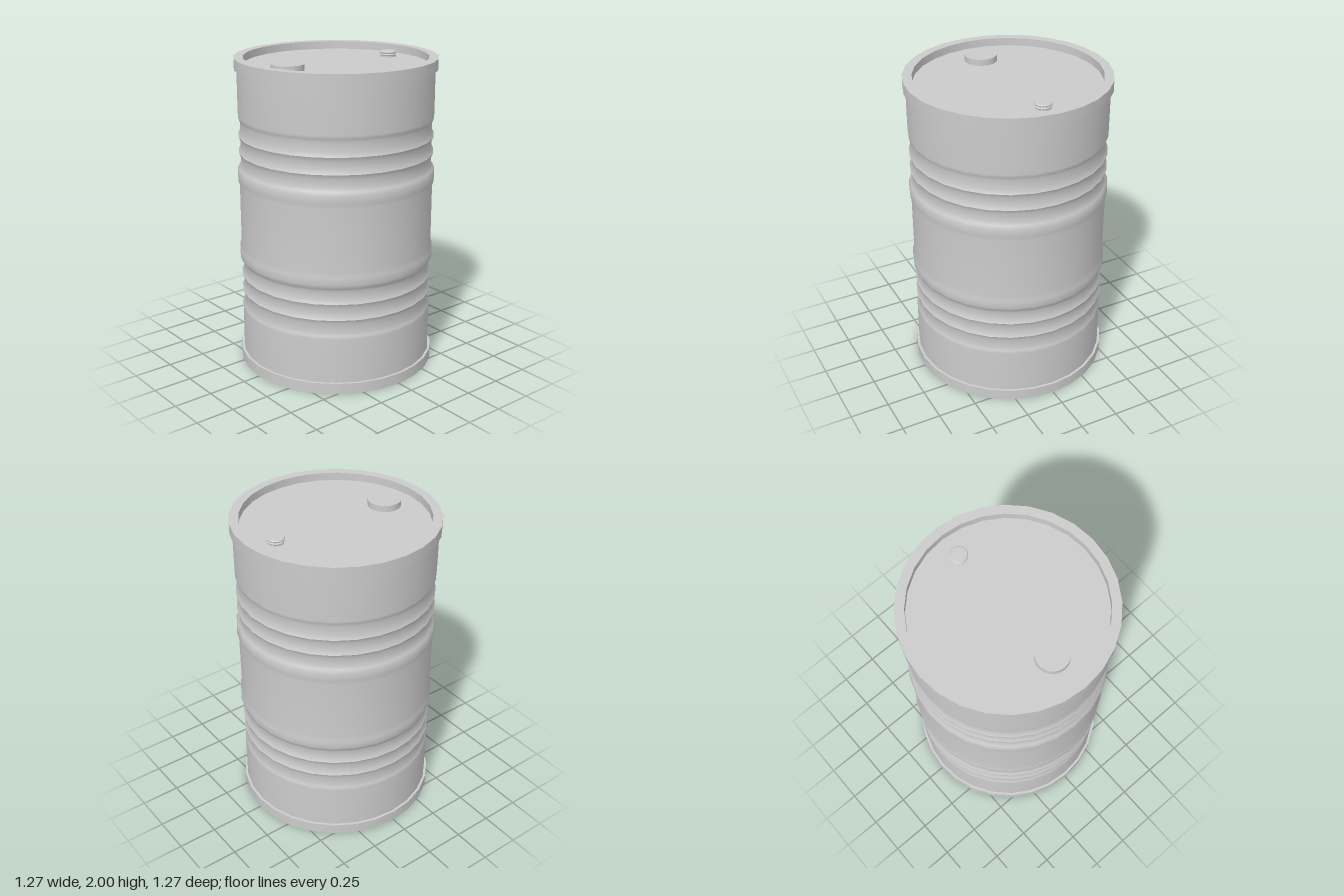
import * as THREE from 'three';
import { mergeGeometries } from 'three/addons/utils/BufferGeometryUtils.js';

const SIDES = 28;
const grey = new THREE.MeshStandardMaterial({ color: 0xcccccc });

// Each run is a smooth [radius, y] profile; edges between runs stay sharp.
function turned(name, runs, sides = SIDES) {
  const parts = runs.map((run) =>
    new THREE.LatheGeometry(run.map(([r, y]) => new THREE.Vector2(r, y)), sides));
  const mesh = new THREE.Mesh(mergeGeometries(parts), grey);
  mesh.name = name;
  return mesh;
}

// Reflects runs about mid height, keeping them facing outward.
const flip = (runs) => runs.map((run) => run.map(([r, y]) => [r, 2 - y]).reverse()).reverse();

// Consecutive points become separate hard-edged runs.
const hardEdged = (pts) => pts.slice(1).map((p, i) => [pts[i], p]);

export function createModel() {
  const drum = new THREE.Group();
  drum.name = 'drum';

  // Ribbed wall: the lower half, then its reflection
  const lower = [
    [[0.619, 0.07], [0.619, 0.36], [0.614, 0.38], [0.606, 0.4], [0.606, 0.46], [0.619, 0.488]],
    [[0.619, 0.488], [0.606, 0.515], [0.606, 0.565], [0.619, 0.593]],
  ];
  const shoulder = [[0.619, 0.593], [0.606, 0.62], [0.606, 0.675], [0.619, 0.695],
    [0.629, 0.72], [0.629, 0.77], [0.619, 0.8]];
  const middle = [...shoulder, ...flip([shoulder])[0]];
  drum.add(turned('ribbedWall', [...lower, middle, ...flip(lower)]));

  // End rims with recessed heads
  const floorY = 1.95;
  const end = hardEdged([[0.617, 1.93], [0.635, 1.93], [0.635, 2], [0.577, 2], [0.577, floorY], [0, floorY]]);
  drum.add(turned('topRimAndHead', end));
  drum.add(turned('bottomRimAndHead', flip(end)));

  // Large filler cap
  const cap = turned('fillerCap', hardEdged([[0.102, 0], [0.102, 0.04], [0, 0.04]]));
  cap.position.set(0, floorY, 0.372);
  drum.add(cap);

  // Small threaded vent plug
  const plug = turned('ventPlug', hardEdged([
    [0.048, 0], [0.048, 0.008], [0.053, 0.012], [0.053, 0.016], [0.048, 0.02],
    [0.048, 0.024], [0.053, 0.028], [0.053, 0.032], [0.048, 0.037], [0, 0.037],
  ]));
  plug.position.set(0, floorY, -0.43);
  drum.add(plug);

  return drum;
}
